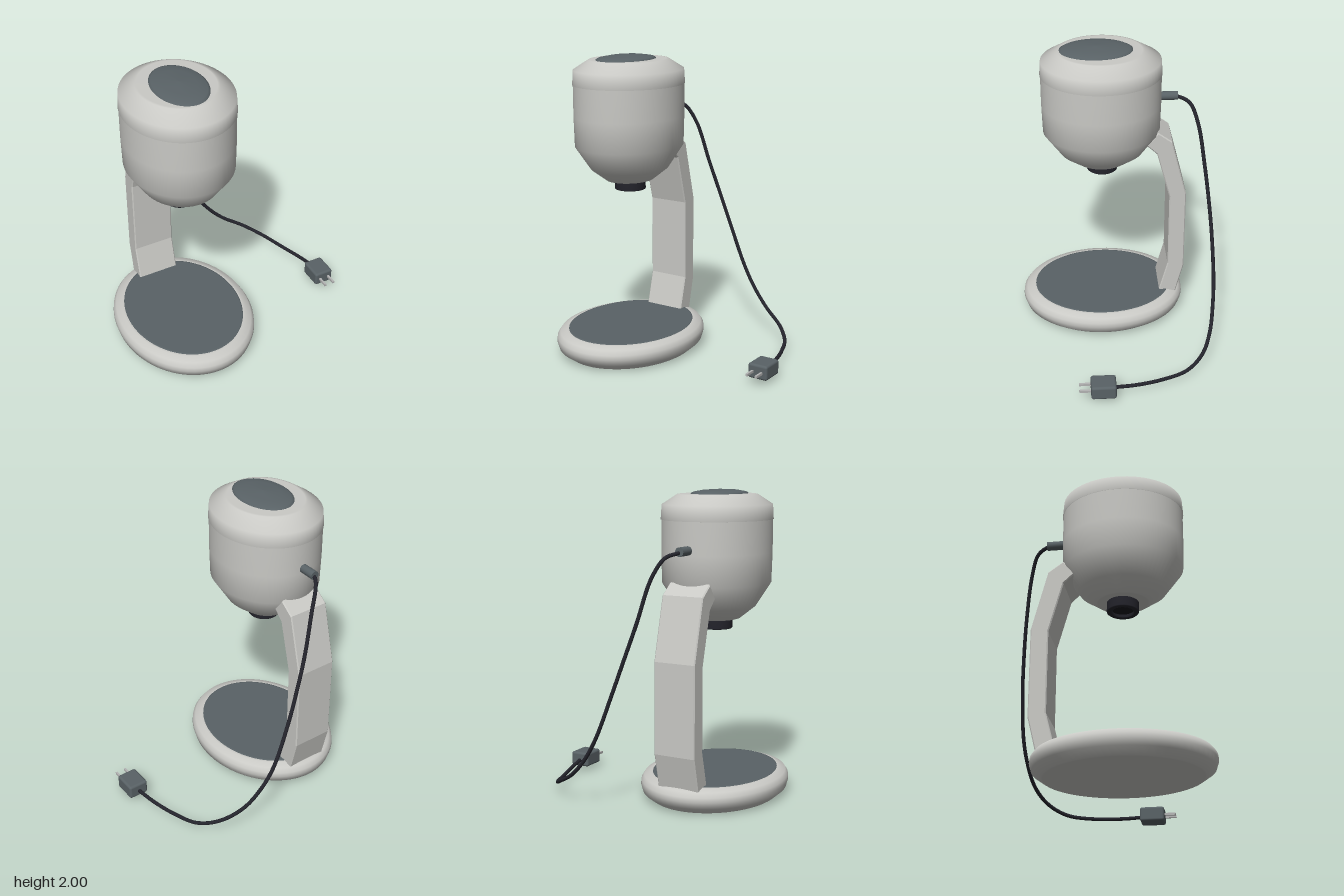
import * as THREE from 'three';
import { RoundedBoxGeometry } from 'three/addons/geometries/RoundedBoxGeometry.js';

const material = (name, color) => {
  const m = new THREE.MeshStandardMaterial({ color });
  m.name = name;
  return m;
};

export function createModel() {
  const shell = material('pale grey shell', 0xc9c9c5);
  const slate = material('slate grey', 0x596266);
  const rubber = material('black rubber', 0x24242c);
  const glass = material('lens glass', 0x15151d);
  const metal = material('prong metal', 0xb4b4b4);

  const group = new THREE.Group();
  const CX = -0.34, CZ = 0.087; // shared axis of base and head

  const add = (name, geometry, mat, x = 0, y = 0, z = 0) => {
    const mesh = new THREE.Mesh(geometry, mat);
    mesh.name = name;
    mesh.position.set(x, y, z);
    group.add(mesh);
    return mesh;
  };

  // Oval turned part: lathe profile [radius, y], stretched along z
  const oval = (name, profile, mat, stretch, z = CZ) => {
    const g = new THREE.LatheGeometry(profile.map(p => new THREE.Vector2(...p)), 64);
    g.scale(1, 1, stretch);
    return add(name, g, mat, CX, 0, z);
  };

  // Base and its inlaid pad
  oval('base', [[0, 0], [0.395, 0], [0.405, 0.003], [0.453, 0.045], [0.465, 0.09], [0.462, 0.12],
    [0.444, 0.149], [0.405, 0.164], [0.395, 0.165], [0, 0.165]], shell, 1.226);
  oval('basePad', [[0.39, 0.163], [0.389, 0.168], [0.38, 0.169], [0, 0.169]], slate, 1.24);

  // Bent arm: side outline [z, y], extruded across x
  const outline = [[-0.425, 0.14], [-0.48, 0.37], [-0.48, 0.957], [-0.377, 1.36], [-0.28, 1.43],
    [-0.207, 1.335], [-0.276, 1.27], [-0.366, 0.936], [-0.366, 0.39], [-0.302, 0.14]];
  const arm = new THREE.ExtrudeGeometry(new THREE.Shape(outline.map(p => new THREE.Vector2(...p))), {
    depth: 0.27, bevelEnabled: true, bevelSize: 0.007, bevelOffset: -0.007, bevelThickness: 0.007, bevelSegments: 1,
  });
  arm.rotateY(-Math.PI / 2);
  add('arm', arm, shell, CX + 0.135);

  // Head: tapered body, overlapping lid and domed button
  oval('headBody', [[0, 1.17], [0.14, 1.17], [0.15, 1.173], [0.245, 1.25], [0.342, 1.405],
    [0.347, 1.6], [0.347, 1.82]], shell, 1.14);
  oval('headLid', [[0.335, 1.808], [0.351, 1.81], [0.345, 1.905], [0.25, 1.969], [0.235, 1.971], [0, 1.971]], shell, 1.14);
  oval('topButton', [[0.168, 1.965], [0.168, 1.974], [0.155, 1.983], [0.1, 1.994], [0, 2]], slate, 1.42, 0.118);

  // Lens barrel with recessed glass
  const barrel = oval('lensBarrel', [[0.07, 1.13], [0.07, 1.107], [0.075, 1.105], [0.098, 1.105], [0.103, 1.11],
    [0.103, 1.18]], rubber, 1);
  barrel.position.z = 0.085;
  const lens = add('lensGlass', new THREE.CircleGeometry(0.071, 40), glass, CX, 1.125, 0.085);
  lens.rotation.x = Math.PI / 2;

  // Strain relief at the back of the head
  const relief = add('strainRelief', new THREE.CylinderGeometry(0.029, 0.029, 0.14, 24), slate, CX, 1.633, -0.348);
  relief.rotation.x = Math.PI / 2;

  // Power cord
  const cord = new THREE.CatmullRomCurve3([
    [-0.34, 1.63, -0.39], [-0.332, 1.625, -0.43], [-0.285, 1.6, -0.495], [-0.22, 1.48, -0.545],
    [-0.14, 1.2, -0.59], [-0.06, 0.96, -0.618], [0.01, 0.76, -0.635], [0.127, 0.465, -0.645],
    [0.22, 0.315, -0.633], [0.335, 0.195, -0.605], [0.475, 0.113, -0.54], [0.58, 0.062, -0.425],
    [0.65, 0.05, -0.25], [0.7, 0.058, -0.08], [0.73, 0.072, 0.07],
  ].map(p => new THREE.Vector3(...p)));
  add('cord', new THREE.TubeGeometry(cord, 140, 0.0125, 10), rubber);

  // Plug with two prongs
  add('plugBody', new RoundedBoxGeometry(0.137, 0.098, 0.165, 3, 0.016), slate, 0.729, 0.077, 0.137);
  for (const side of [-1, 1]) {
    add(side > 0 ? 'prongLeft' : 'prongRight', new THREE.BoxGeometry(0.014, 0.016, 0.1), metal,
      0.729 + side * 0.033, 0.077, 0.246);
  }

  return group;
}
